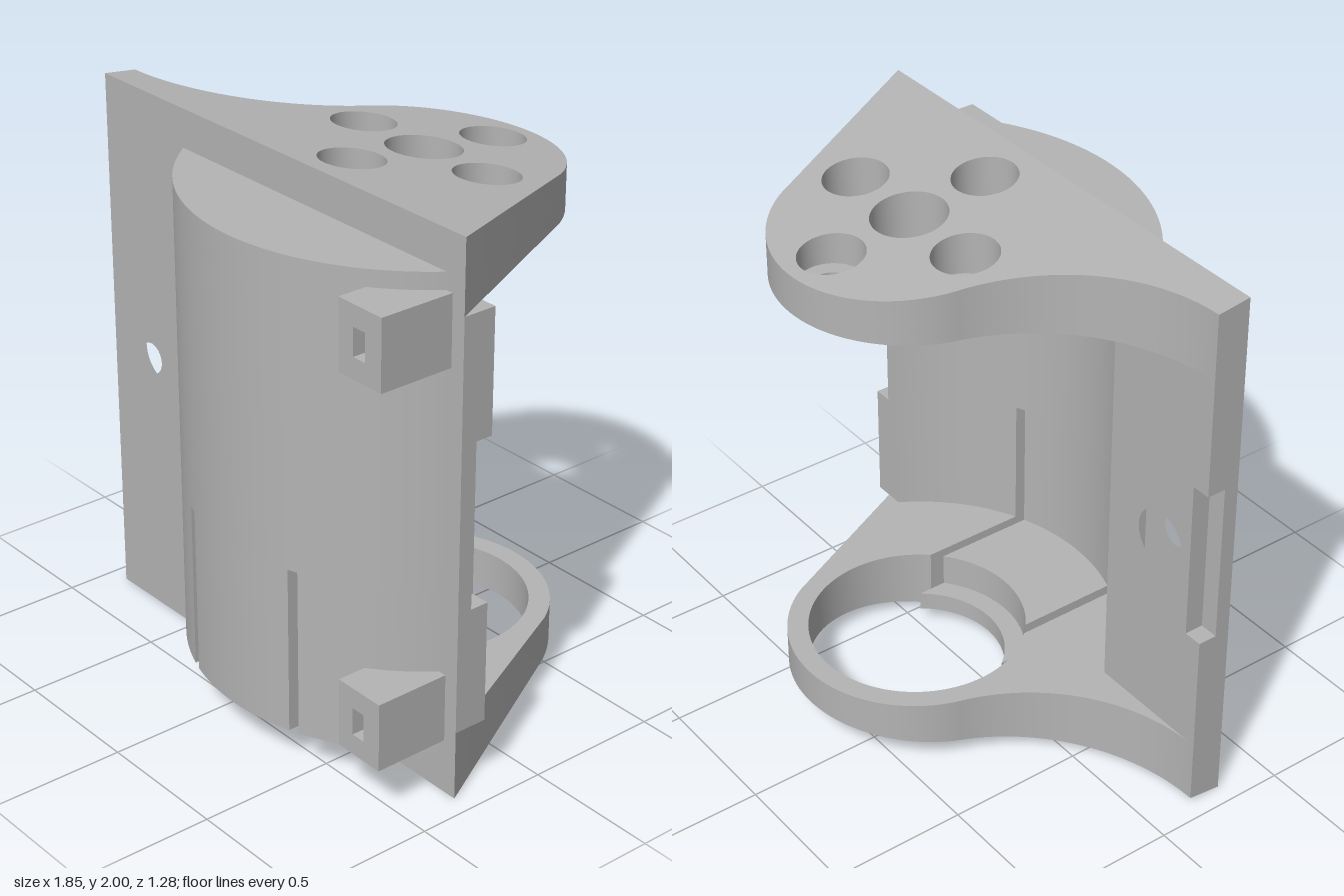
import * as THREE from 'three';
import { toCreasedNormals } from 'three/addons/utils/BufferGeometryUtils.js';

// Axis of the round housing, and main dimensions
const CX = 0.18, CZ = -0.18;
const R_OUT = 0.82, R_IN = 0.72, R_BEARING = 0.39, R_END = 0.465;
const FRONT = 0.305, BACK = 0.18, HALF = 0.925;
const FLOOR = 0.255, CEILING = 1.74;
const SLOT_IN = 0.25, SLOT_OUT = 0.285;
const SLOPE = 0.1217;

export function createModel() {
  const model = new THREE.Group();
  const grey = new THREE.MeshStandardMaterial({ color: 0xb4b4b4 });
  grey.name = 'plain grey';

  const add = (name, geometry) => {
    const mesh = new THREE.Mesh(toCreasedNormals(geometry, 0.5), grey);
    mesh.name = name;
    model.add(mesh);
  };

  // Extrude a plan (x, -z) upwards from y0 to y1
  const rise = (shape, y0, y1) =>
    new THREE.ExtrudeGeometry(shape, { depth: y1 - y0, bevelEnabled: false, curveSegments: 32 })
      .rotateX(-Math.PI / 2).translate(0, y0, 0);

  // Extrude an elevation (x, y) from z0 to z1
  const push = (shape, z0, z1) =>
    new THREE.ExtrudeGeometry(shape, { depth: z1 - z0, bevelEnabled: false, curveSegments: 24 })
      .translate(0, 0, z0);

  // One side of a plan strip: an arc of radius r about the axis, never behind z = low
  const edge = (x0, x1, r, low) => {
    const height = (x) => Math.max(low, CZ + Math.sqrt(Math.max(0, r * r - (x - CX) ** 2)));
    const reach = r > low - CZ ? Math.sqrt(r * r - (low - CZ) ** 2) : 0;
    const points = [new THREE.Vector2(x0, -height(x0))];
    const n = 48;
    const span = Math.asin(reach / r);
    for (let i = 0; reach && i <= n; i++) {
      const x = CX + r * Math.sin(span * (2 * i / n - 1));
      if (x > x0 + 1e-4 && x < x1 - 1e-4) points.push(new THREE.Vector2(x, -height(x)));
    }
    points.push(new THREE.Vector2(x1, -height(x1)));
    return points;
  };
  const strip = (x0, x1, rFront, lowFront, rBack, lowBack, y0, y1) =>
    rise(new THREE.Shape([
      ...edge(x0, x1, rFront, lowFront),
      ...edge(x0, x1, rBack, lowBack).reverse(),
    ]), y0, y1);

  const circle = (x, y, r) => new THREE.Path().absarc(x, y, r, 0, Math.PI * 2, true);

  // End plate plan: round nose, straight right flank, hollow left flank
  const endPlan = (slotted) => {
    const s = new THREE.Shape();
    s.moveTo(HALF, -BACK);
    s.absarc(CX, -CZ, R_END, Math.PI / 6, 2.854, false);
    s.absarc(-HALF, 0.508, 0.688, -0.289, -Math.PI / 2, true);
    s.lineTo(-HALF, -FRONT);
    if (slotted) {
      const a = Math.acos(SLOT_OUT / R_BEARING);
      s.lineTo(CX - SLOT_OUT, -FRONT);
      s.absarc(CX, -CZ, R_BEARING, Math.PI + a, -a, true);
      s.lineTo(CX + SLOT_OUT, -FRONT);
    }
    s.lineTo(HALF, -FRONT);
    s.closePath();
    return s;
  };

  // Tilt the outer face of an end plate
  const tilt = (geometry, outerY, sign) => {
    const p = geometry.attributes.position;
    for (let i = 0; i < p.count; i++) {
      if (Math.abs(p.getY(i) - outerY) < 1e-4) p.setY(i, outerY + sign * SLOPE * (FRONT - p.getZ(i)));
    }
    return geometry;
  };

  // Top plate in two layers: screw holes below, counterbores above
  const layers = [['topPlateLower', 0.057, CEILING, 1.8], ['topPlateUpper', 0.113, 1.8, 2]];
  for (const [name, r, y0, y1] of layers) {
    const plan = endPlan(false);
    plan.holes.push(circle(CX, -CZ, 0.13));
    for (let i = 0; i < 4; i++) {
      const a = i * Math.PI / 2;
      plan.holes.push(circle(CX + 0.305 * Math.cos(a), -CZ + 0.305 * Math.sin(a), r));
    }
    add(name, tilt(rise(plan, y0, y1), 2, -1));
  }

  // Bottom plate with bearing hole, spring tongue and its retaining ridge
  add('bottomPlate', tilt(rise(endPlan(true), 0, FLOOR), 0, 1));
  add('bottomTongue', tilt(
    strip(CX - SLOT_IN, CX + SLOT_IN, 0.1, FRONT, R_BEARING, -0.1, 0, FLOOR), 0, 1));
  add('tongueRidge', strip(CX - SLOT_IN, CX + SLOT_IN, 0.4, -0.1, 0.315, -0.1, 0.06, 0.13));

  // Curved housing wall: three fingers below, one piece above
  const wallLeft = -0.55, wallRight = 0.85;
  const capHalf = Math.sqrt(R_OUT ** 2 - (FRONT - CZ) ** 2);
  const fingers = (x0, x1) => [
    [x0, CX - SLOT_OUT], [CX - SLOT_IN, CX + SLOT_IN], [CX + SLOT_OUT, x1],
  ];
  for (const [x0, x1] of fingers(wallLeft, wallRight)) {
    add('housingFinger', strip(x0, x1, R_OUT, FRONT, R_IN, BACK, FLOOR, 0.755));
  }
  add('housingWall', strip(wallLeft, wallRight, R_OUT, FRONT, R_IN, BACK, 0.755, CEILING));

  // Caps closing the bulge at both ends
  for (const [x0, x1] of fingers(CX - capHalf, CX + capHalf)) {
    add('bottomCap', strip(x0, x1, R_OUT, FRONT, 0.1, 0.29, 0.14, FLOOR));
  }
  add('topCap', strip(CX - capHalf, CX + capHalf, R_OUT, FRONT, 0.1, 0.29, CEILING, 1.86));

  // Flat side flanges, notched at the back of the outer edge
  const flange = (inner, outer, notch) => {
    const s = new THREE.Shape();
    s.moveTo(inner, FLOOR);
    s.lineTo(outer, FLOOR);
    if (notch) {
      const n = outer - Math.sign(outer) * 0.07;
      s.lineTo(outer, 0.7);
      s.lineTo(n, 0.7);
      s.lineTo(n, 1.3);
      s.lineTo(outer, 1.3);
    }
    s.lineTo(outer, CEILING);
    s.lineTo(inner, CEILING);
    s.closePath();
    return s;
  };
  for (const [z0, z1, notch, r] of [[BACK, 0.25, true, 0.11], [0.25, FRONT, false, 0.057]]) {
    const holed = flange(wallLeft, -HALF, notch);
    holed.holes.push(circle(-0.705, 1, r));
    add('flangeWithScrewHole', push(holed, z0, z1));
    add('narrowFlange', push(flange(wallRight, HALF, notch), z0, z1));
  }

  // Two latch blocks with a rectangular socket in the front
  for (const y of [0.2, 1.55]) {
    const block = (x0, x1, y0, y1) =>
      add('latchBlock', strip(x0, x1, 0.1, 0.585, 0.77, 0.3, y + y0, y + y1));
    block(0.67, 0.87, 0, 0.075);
    block(0.67, 0.74, 0.075, 0.175);
    block(0.795, 0.87, 0.075, 0.175);
    block(0.67, 0.87, 0.175, 0.25);
  }
  return model;
}
